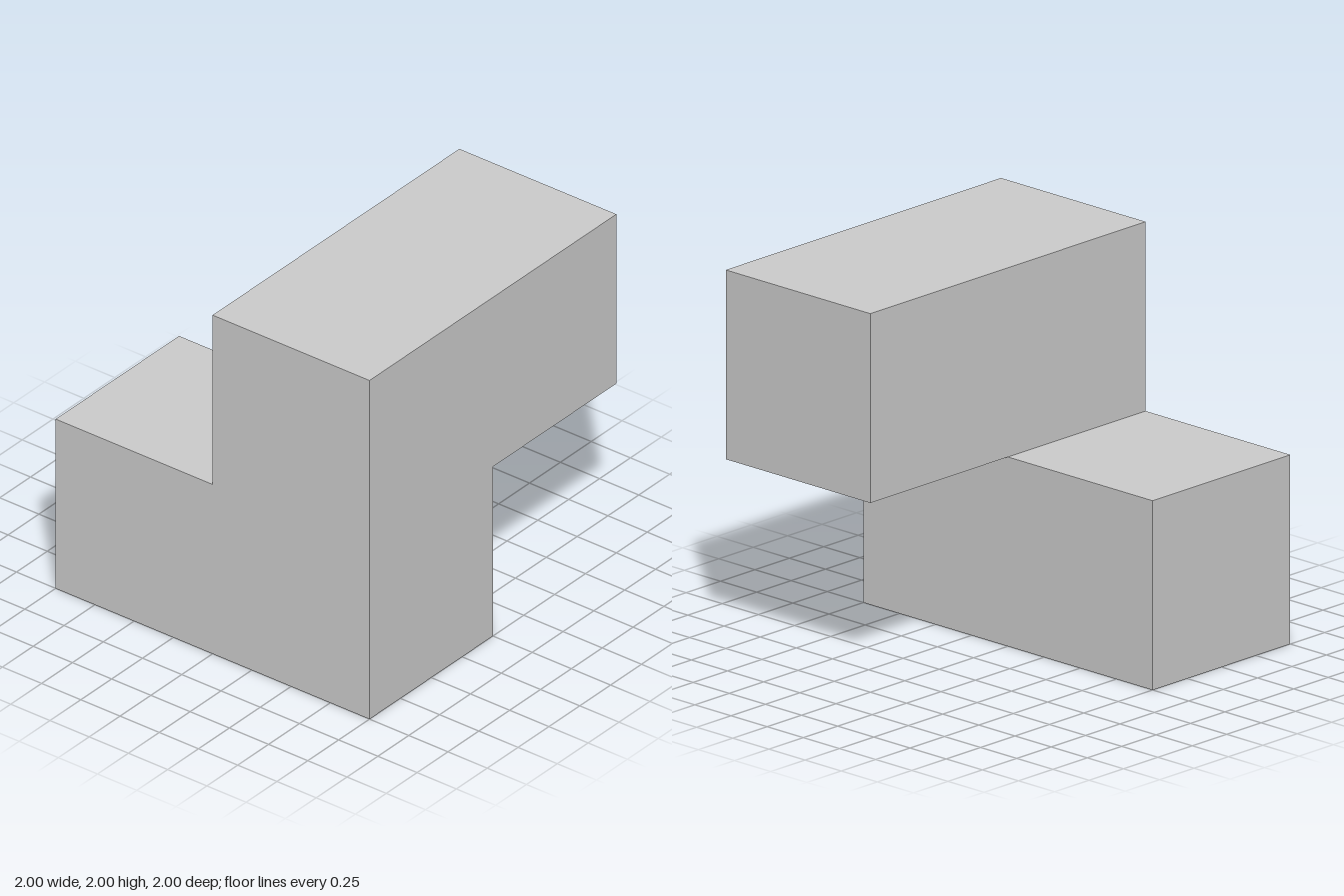
import * as THREE from 'three';

const material = new THREE.MeshStandardMaterial({ color: 0xcccccc, flatShading: true });

// Box bar given by its size and centre
function bar(name, size, centre) {
  const mesh = new THREE.Mesh(new THREE.BoxGeometry(...size), material);
  mesh.name = name;
  mesh.position.set(...centre);
  return mesh;
}

export function createModel() {
  const group = new THREE.Group();
  group.name = 'twistedBlockPiece';

  // Lower bar runs across the front
  group.add(bar('lowerBar', [2, 1, 1], [0, 0.5, 0.5]));

  // Upper bar sits on its left end and overhangs to the back
  group.add(bar('upperBar', [1, 1, 2], [0.5, 1.5, 0]));

  return group;
}
